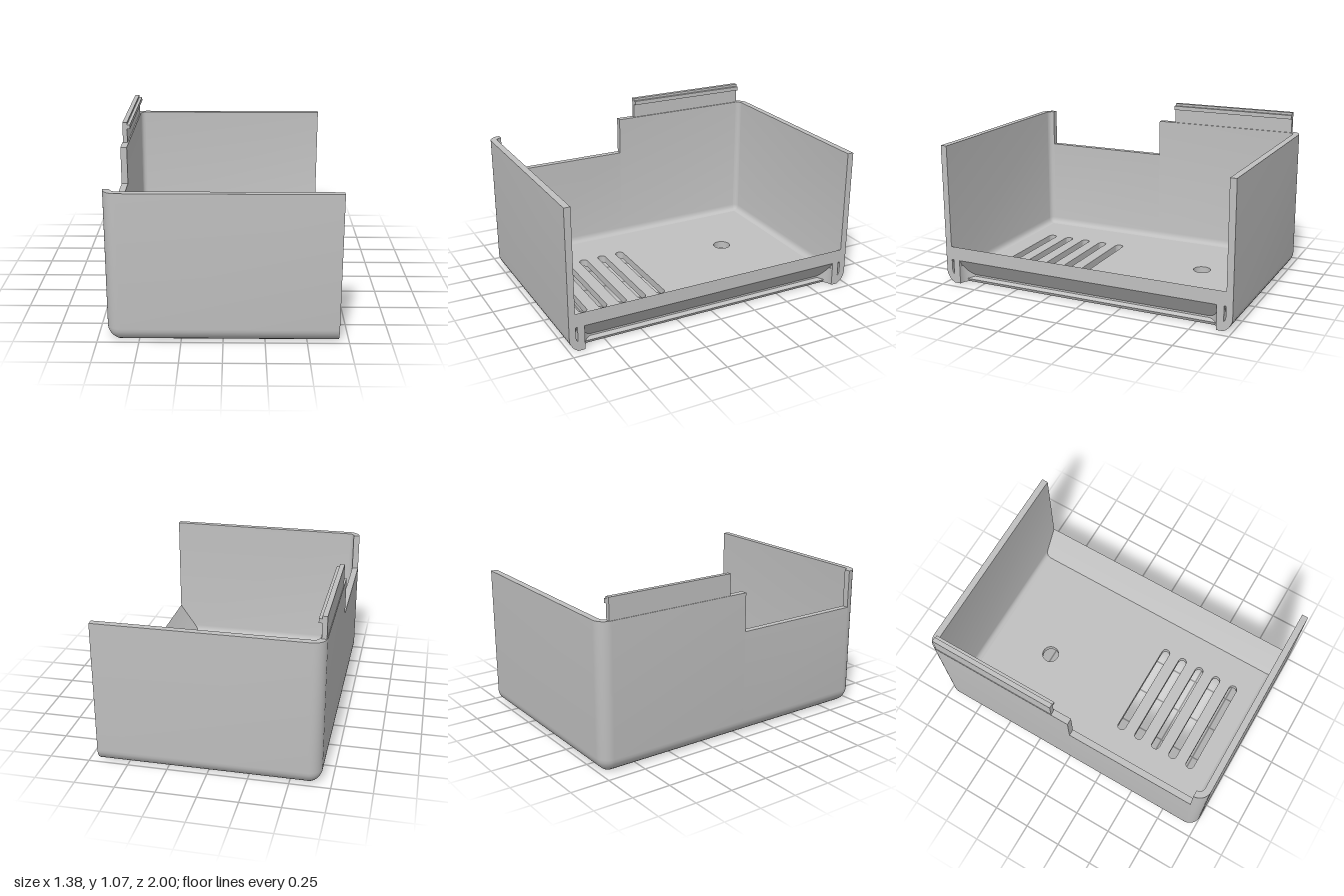
import * as THREE from 'three';
import { toCreasedNormals } from 'three/addons/utils/BufferGeometryUtils.js';

const END = 0.69, R = 0.08, TOP = 0.93, NOTCH = 0.68;

// U-shaped outline in plan, open at +x: [x, z, rim height]
function outline(inset, end = END) {
  const pts = [[end, -1 + inset, TOP]];
  const r = R - inset, n = 10;
  const arc = (sign) => {
    for (let k = 0; k <= n; k++) {
      const a = (sign < 0 ? k : n - k) / n * Math.PI / 2;
      pts.push([-END + R - r * Math.sin(a), sign * (1 - R + r * Math.cos(a)), TOP]);
    }
  };
  arc(-1);
  const x = -END + inset;
  pts.push([x, 0.04, TOP], [x, 0.04, NOTCH], [x, 1 - R, NOTCH]);
  arc(1);
  pts.push([end, 1 - inset, TOP]);
  return pts;
}

// Wall section: [inset, height], null height meaning the rim
const SECTION = [
  [0.055, 0], [0.036, 0.013], [0.02, 0.029], [0.008, 0.05], [0.002, 0.066], [0, 0.085], [0, null],
  [0.042, null], [0.042, 0.092], [0.046, 0.073], [0.055, 0.06], [0.066, 0.053], [0.079, 0.05],
];

function wallGeometry() {
  const rows = SECTION.map(([i, y]) => outline(i).map(([x, z, rim]) => [x, y === null ? rim : y, z]));
  const pos = [];
  for (let l = 0; l < rows.length - 1; l++) {
    for (let j = 0; j < rows[l].length - 1; j++) {
      const a = rows[l][j], b = rows[l][j + 1], c = rows[l + 1][j + 1], d = rows[l + 1][j];
      pos.push(...a, ...b, ...c, ...a, ...c, ...d);
    }
  }
  const g = new THREE.BufferGeometry();
  g.setAttribute('position', new THREE.Float32BufferAttribute(pos, 3));
  return toCreasedNormals(g, 0.6);
}

const shapeOf = (pts) => new THREE.Shape(pts.map(([x, y]) => new THREE.Vector2(x, y)));

// Profile in x-y carried from z0 to z1
function alongZ(pts, z0, z1) {
  const g = new THREE.ExtrudeGeometry(shapeOf(pts), { depth: z1 - z0, bevelEnabled: false });
  return toCreasedNormals(g.translate(0, 0, z0), 0.6);
}

// Plan shape in x, -z carried from y0 to y1
function alongY(shape, y0, y1) {
  const g = new THREE.ExtrudeGeometry(shape, { depth: y1 - y0, bevelEnabled: false, curveSegments: 20 });
  return toCreasedNormals(g.rotateX(-Math.PI / 2).translate(0, y0, 0), 0.6);
}

export function createModel() {
  const group = new THREE.Group();
  const grey = new THREE.MeshStandardMaterial({ color: 0xc0c0c0 });
  grey.name = 'grey plastic';
  const add = (name, geometry) => {
    const m = new THREE.Mesh(geometry, grey);
    m.name = name;
    group.add(m);
  };

  add('walls', wallGeometry());

  // Cut ends of the side walls
  for (const s of [-1, 1]) {
    const cap = new THREE.ShapeGeometry(shapeOf(SECTION.map(([i, y]) => [s * (1 - i), y === null ? TOP : y])));
    add('wallEnd', cap.rotateY(Math.PI / 2).translate(END, 0, 0));
  }

  // Floor with a round hole and five vent slots
  const floor = shapeOf(outline(0.055, 0.58).filter((p) => p[2] === TOP).map(([x, z]) => [x, -z]));
  const hole = new THREE.Path();
  hole.absarc(-0.11, 0.51, 0.058, 0, Math.PI * 2, true);
  floor.holes.push(hole);
  for (let k = 0; k < 5; k++) {
    const z = 0.212 + k * 0.138, r = 0.029;
    const slot = new THREE.Path();
    slot.absarc(0.32, -z, r, -Math.PI / 2, Math.PI / 2, false);
    slot.absarc(-0.315, -z, r, Math.PI / 2, Math.PI * 1.5, false);
    floor.holes.push(slot);
  }
  add('floor', alongY(floor, 0, 0.05));

  // Sloped sill along the open side, with the lip below it
  add('sill', alongZ([[0.545, 0.045], [0.55, 0.05], [0.69, 0.25], [0.69, 0.16], [0.61, 0.046]], -0.965, 0.965));
  add('lip', alongZ([[0.5, 0], [0.625, 0], [0.635, 0.02], [0.62, 0.026], [0.611, 0.035], [0.61, 0.047], [0.5, 0.049]], -0.91, 0.91));

  for (const s of [-1, 1]) {
    // Solid posts at the ends of the recess
    const z = [s * 0.9, s * 0.945].sort((a, b) => a - b);
    add('recessPost', alongZ([[0.5, 0], [0.69, 0], [0.69, 0.245], [0.55, 0.048], [0.5, 0.048]], z[0], z[1]));
    // Rounded inner corners of the recess
    const pts = [[0.6, s * 0.9], [0.69, s * 0.9]];
    for (let k = 0; k <= 8; k++) {
      const a = k / 8 * Math.PI / 2;
      pts.push([0.69 - 0.08 * Math.sin(a), s * (0.82 + 0.08 * Math.cos(a))]);
    }
    pts.push([0.6, s * 0.82]);
    add('recessCorner', alongY(shapeOf(pts), 0, 0.118));
  }

  // Snap tab with a small hook on the raised part of the end wall
  add('snapTab', alongZ([
    [-0.686, 0.9], [-0.656, 0.9], [-0.656, 1.025], [-0.636, 1.025],
    [-0.636, 1.052], [-0.656, 1.052], [-0.656, 1.068], [-0.686, 1.068],
  ], -0.935, -0.08));

  return group;
}
